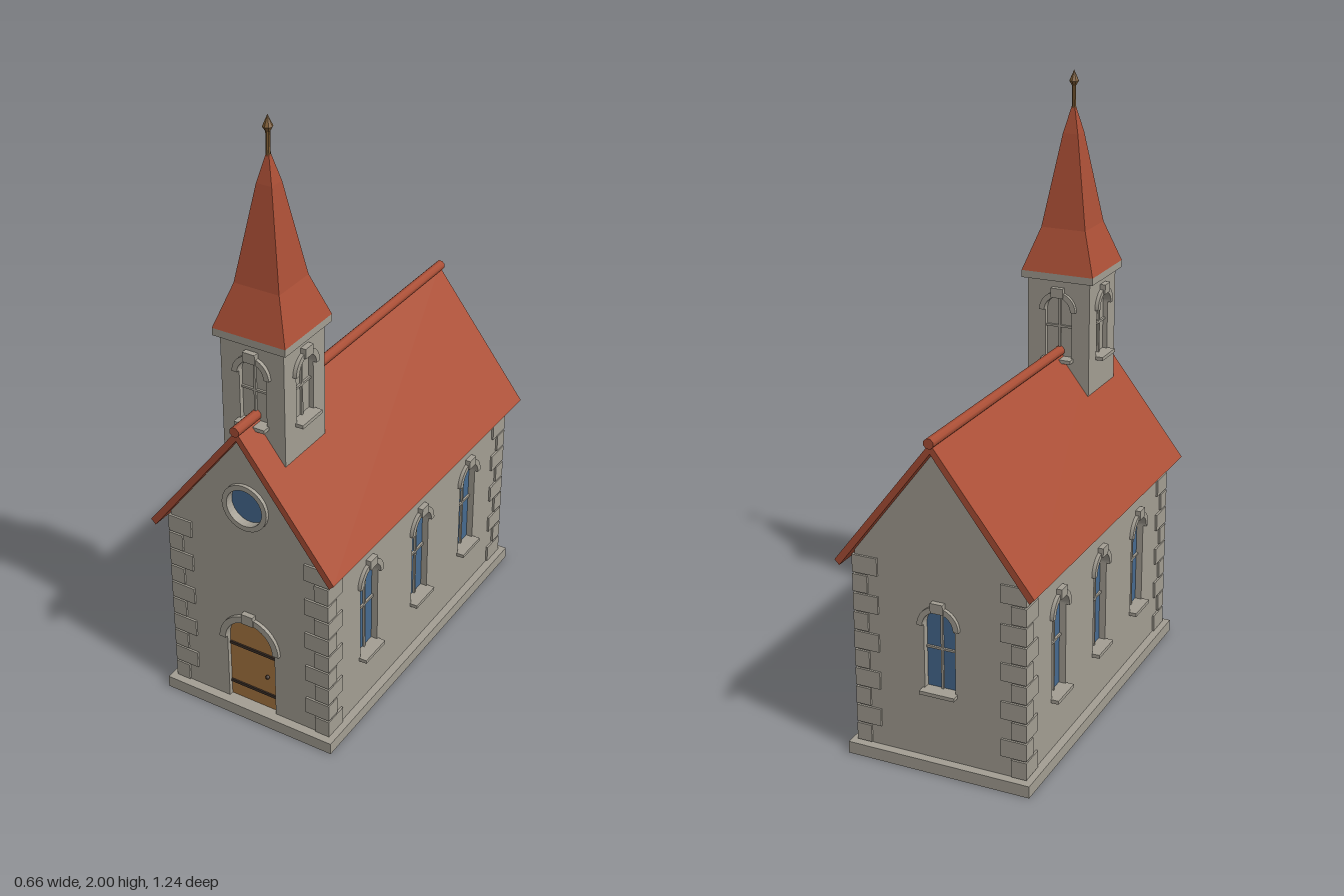
import * as THREE from 'three';

const mat = (name, color) => Object.assign(new THREE.MeshStandardMaterial({ color }), { name });

export function createModel() {
  const stone = mat('stone', 0xa39e93);
  const tile = mat('roof tile', 0xab4f36);
  const wood = mat('door wood', 0xa87642);
  const glass = mat('window glass', 0x466a90);
  const iron = mat('dark iron', 0x3b2f28);
  const bronze = mat('bronze', 0x7d5c34);

  const church = new THREE.Group();
  church.name = 'church';

  const add = (parent, name, geo, m, x = 0, y = 0, z = 0) => {
    const mesh = new THREE.Mesh(geo, m);
    mesh.name = name;
    mesh.position.set(x, y, z);
    parent.add(mesh);
    return mesh;
  };
  const box = (parent, name, m, w, h, d, x, y, z) =>
    add(parent, name, new THREE.BoxGeometry(w, h, d), m, x, y, z);
  const extrude = (shape, depth, z = 0) =>
    new THREE.ExtrudeGeometry(shape, { depth, bevelEnabled: false, curveSegments: 16 }).translate(0, 0, z);
  const polygon = (pts) => new THREE.Shape(pts.map(([x, y]) => new THREE.Vector2(x, y)));
  const facetedLathe = (pts, sides) => {
    const g = new THREE.LatheGeometry(
      pts.map(([r, y]) => new THREE.Vector2(r, y)), sides, Math.PI / 4).toNonIndexed();
    g.computeVertexNormals();
    return g;
  };

  // Round-headed outline; r is half the width, spring is where the arch begins
  const archShape = ({ x = 0, r, y0, spring }) => {
    const s = new THREE.Shape();
    s.moveTo(x - r, y0);
    s.lineTo(x + r, y0);
    s.lineTo(x + r, spring);
    s.absarc(x, spring, r, 0, Math.PI, false);
    s.closePath();
    return s;
  };
  const ringShape = (inner, outer, sweep) => {
    const s = new THREE.Shape();
    s.absarc(0, 0, outer, 0, sweep, false);
    if (sweep < 6) {
      s.absarc(0, 0, inner, sweep, 0, true);
      s.closePath();
    } else {
      s.holes.push(new THREE.Path().absarc(0, 0, inner, 0, sweep, true));
    }
    return s;
  };

  // Wall facing local +z with its outer surface at z = 0
  const wall = (name, outline, holes, depth, x, z, turn) => {
    const g = new THREE.Group();
    g.name = name;
    g.position.set(x, 0, z);
    g.rotation.y = turn;
    outline.holes = holes;
    add(g, 'wallPanel', extrude(outline, depth, -depth), stone);
    church.add(g);
    return g;
  };

  // Raised arch moulding with keystone
  const hood = (g, { x = 0, r, spring }, w) => {
    add(g, 'archMoulding', extrude(ringShape(r, r + w, Math.PI), 0.014, -0.002), stone, x, spring, 0);
    box(g, 'keystone', stone, 0.042, w + 0.014, 0.02, x, spring + r + w / 2 + 0.007, 0.008);
  };

  const window = (g, o, barY, pane, inset) => {
    const { x = 0, r, y0, spring } = o;
    const top = spring + r;
    add(g, 'windowPane', extrude(archShape(o), 0.004, -inset), pane);
    box(g, 'mullion', stone, 0.007, top - y0, 0.01, x, (top + y0) / 2, 0.006 - inset);
    box(g, 'crossBar', stone, r * 2, 0.007, 0.01, x, barY, 0.006 - inset);
    box(g, 'sill', stone, r * 2 + 0.014, 0.012, 0.05, x, y0, 0.001);
    hood(g, o, 0.018);
  };

  // Plinth
  box(church, 'plinth', stone, 0.62, 0.04, 1.2, 0, 0.02, 0);

  // Nave walls
  const W = 0.283, L = 0.57, T = 0.03;
  const gable = () => polygon([[-W, 0.03], [W, 0.03], [W, 0.697], [0, 1.065], [-W, 0.697]]);

  const doorway = { r: 0.088, y0: 0.04, spring: 0.282 };
  const roseHole = new THREE.Path().absarc(0, 0.806, 0.064, 0, Math.PI * 2, true);
  const front = wall('frontWall', gable(), [archShape(doorway), roseHole], T, 0, L, 0);

  // Door with straps and knob
  add(front, 'door', extrude(archShape(doorway), 0.01, -0.025), wood);
  for (const y of [0.095, 0.25]) box(front, 'doorStrap', iron, 0.174, 0.01, 0.006, 0, y, -0.013);
  add(front, 'doorKnob', new THREE.SphereGeometry(0.007, 10, 8), iron, 0.053, 0.167, -0.01);
  hood(front, doorway, 0.022);

  // Round gable window
  add(front, 'roundPane', new THREE.CircleGeometry(0.066, 32), glass, 0, 0.806, -0.018);
  add(front, 'roundFrame', extrude(ringShape(0.063, 0.08, Math.PI * 2), 0.014, -0.002), stone, 0, 0.806, 0);

  const backOpening = { r: 0.052, y0: 0.27, spring: 0.49 };
  const back = wall('backWall', gable(), [archShape(backOpening)], T, 0, -L, Math.PI);
  window(back, backOpening, 0.41, glass, 0.026);

  for (const s of [1, -1]) {
    const h = L - T;
    const openings = [-0.324, 0, 0.324].map((x) => ({ x, r: 0.052, y0: 0.212, spring: 0.492 }));
    const side = wall(s > 0 ? 'leftWall' : 'rightWall',
      polygon([[-h, 0.03], [h, 0.03], [h, 0.697], [-h, 0.697]]),
      openings.map(archShape), T, s * W, 0, s * Math.PI / 2);
    openings.forEach((o) => window(side, o, 0.387, glass, 0.026));
  }

  // Corner stones, alternating long and short
  const rows = 10, rowH = 0.064;
  for (const sx of [1, -1]) for (const sz of [1, -1]) for (let i = 0; i < rows; i++) {
    const w = i % 2 ? 0.085 : 0.05, d = i % 2 ? 0.05 : 0.085;
    box(church, 'cornerStone', stone, w, rowH - 0.006, d,
      sx * (W + 0.007 - w / 2), 0.04 + (i + 0.5) * rowH, sz * (L + 0.007 - d / 2));
  }

  // Roof slopes and ridge
  for (const s of [1, -1]) {
    const slope = polygon([[0, 1.093], [s * 0.33, 0.666], [s * 0.314, 0.65], [0, 1.06]]);
    add(church, s > 0 ? 'leftRoof' : 'rightRoof', extrude(slope, 1.22, -0.61), tile);
  }
  const ridge = new THREE.CylinderGeometry(0.017, 0.017, 1.235, 8).rotateY(Math.PI / 8).rotateX(Math.PI / 2);
  add(church, 'ridgeCap', ridge, tile, 0, 1.094, 0);

  // Bell tower
  const TZ = 0.407, R = 0.109, D = 0.02;
  box(church, 'towerCore', stone, 2 * (R - D), 0.385, 2 * (R - D), 0, 1.1525, TZ);
  for (let i = 0; i < 4; i++) {
    const a = i * Math.PI / 2, h = i % 2 ? R - D : R;
    const o = { r: 0.046, y0: 1.07, spring: 1.236 };
    const face = wall('towerWall', polygon([[-h, 0.955], [h, 0.955], [h, 1.345], [-h, 1.345]]),
      [archShape(o)], D, Math.sin(a) * R, TZ + Math.cos(a) * R, a);
    window(face, o, 1.18, stone, D);
  }
  box(church, 'towerCornice', stone, 0.25, 0.024, 0.25, 0, 1.35, TZ);

  // Flared spire and finial
  const q = Math.SQRT2;
  add(church, 'spire', facetedLathe(
    [[0, 1.36], [0.125 * q, 1.362], [0.077 * q, 1.5], [0.026 * q, 1.8], [0, 1.905]], 4), tile, 0, 0, TZ);
  add(church, 'finial', facetedLathe(
    [[0.007, 1.87], [0.007, 1.95], [0.016, 1.965], [0, 2]], 8), bronze, 0, 0, TZ);

  return church;
}
